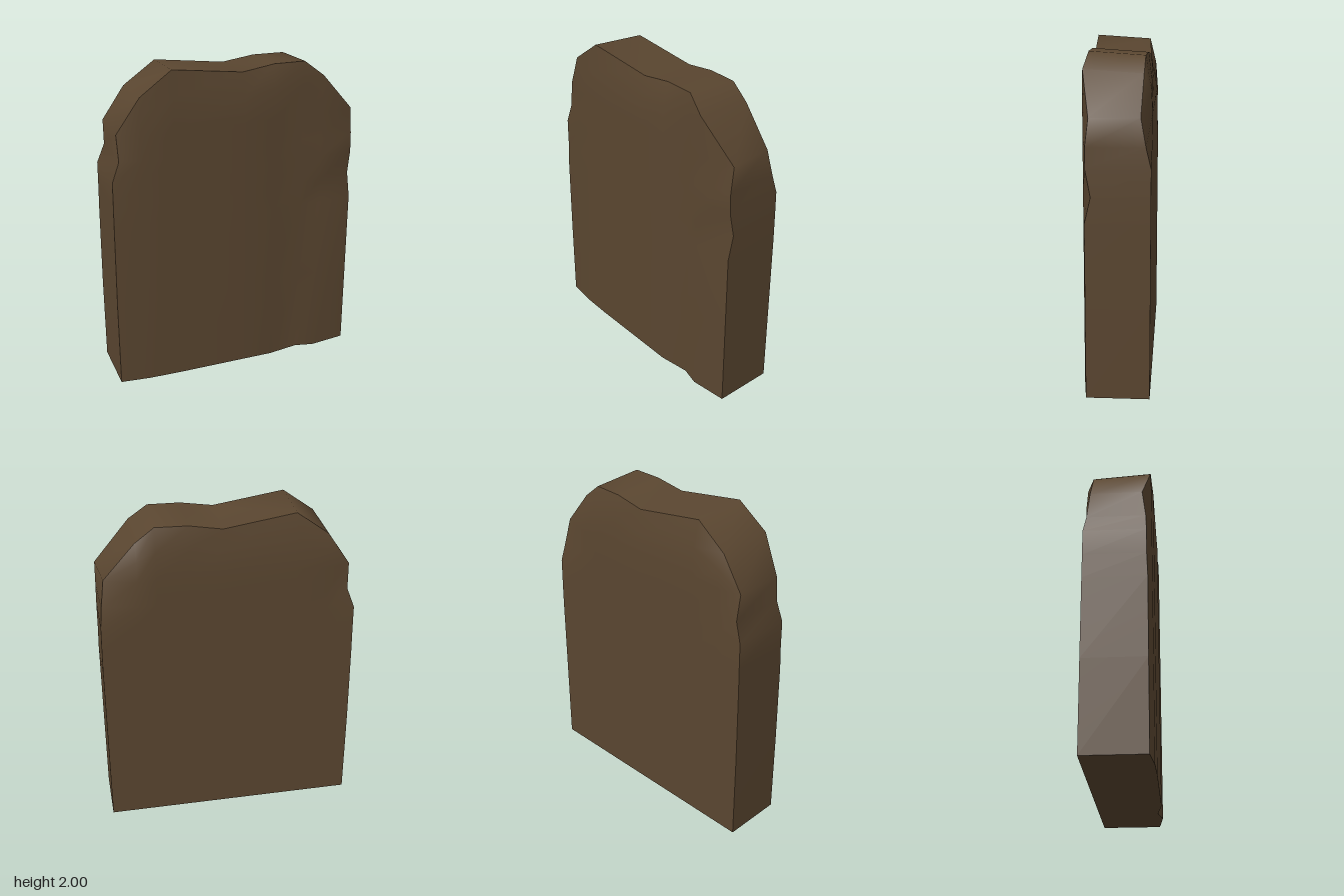
import * as THREE from 'three';
import { mergeVertices } from 'three/addons/utils/BufferGeometryUtils.js';

// Smooth surface through rows of points; faces point along (column x row).
function skin(rows) {
  const n = rows[0].length;
  const index = [];
  for (let i = 0; i < rows.length - 1; i++) {
    for (let j = 0; j < n - 1; j++) {
      const a = i * n + j, b = a + 1, c = b + n, d = a + n;
      index.push(a, b, c, a, c, d);
    }
  }
  const raw = new THREE.BufferGeometry();
  raw.setAttribute('position', new THREE.Float32BufferAttribute(rows.flat(2), 3));
  raw.setIndex(index);
  const geometry = mergeVertices(raw, 1e-4);
  geometry.computeVertexNormals();
  return geometry;
}

export function createModel() {
  const group = new THREE.Group();
  group.name = 'weatheredSlab';
  const stone = new THREE.MeshStandardMaterial({ color: 0x5a4630 });
  stone.name = 'brown stone';

  // Edge rows: height, left x, right x, front z left/right, back z left/right
  const edges = [
    [0.00, -0.78, 0.78, 0.175, 0.17, -0.2, -0.2],
    [0.55, -0.78, 0.78, 0.175, 0.17, -0.2, -0.2],
    [1.05, -0.775, 0.78, 0.175, 0.17, -0.2, -0.2],
    [1.20, -0.772, 0.778, 0.17, 0.135, -0.2, -0.2],
    [1.36, -0.77, 0.775, 0.17, 0.165, -0.2, -0.2],
    [1.48, -0.725, 0.772, 0.165, 0.165, -0.185, -0.17],
    [1.64, -0.73, 0.77, 0.145, 0.145, -0.165, -0.14],
  ];
  // Inner columns: x, front z, crest height, crest front z, crest back z
  const columns = [
    [-0.595, 0.195, 1.86, 0.19, -0.16],
    [-0.40, 0.2, 2.00, 0.185, -0.155],
    [0.04, 0.2, 1.94, 0.165, -0.175],
    [0.24, 0.2, 1.97, 0.165, -0.165],
    [0.435, 0.17, 1.97, 0.17, -0.155],
    [0.55, 0.198, 1.88, 0.195, -0.15],
  ];

  const shoulder = edges[edges.length - 1];
  const front = [], back = [];
  for (const [y, xl, xr, fl, fr, bl, br] of edges) {
    const tuck = y > 1.6 ? 0.03 : y > 1.4 ? 0.01 : 0;
    front.push([[xl, y, fl], ...columns.map(c => [c[0], y, c[1]]), [xr, y, fr]]);
    back.push([[xl, y, bl], ...columns.map(c => [c[0], y, -0.2]), [xr - tuck, y, br]]);
  }
  // Rounded crest above the shoulders; both ends meet at the shoulder points
  for (const t of [0.55, 1]) {
    const f0 = front[edges.length - 1], b0 = back[edges.length - 1];
    const y0 = shoulder[0];
    front.push([f0[0], ...columns.map(([x, z, top, zt]) =>
      [x, y0 + (top - y0) * t, t < 1 ? z : zt]), f0[f0.length - 1]]);
    back.push([b0[0], ...columns.map(([x, , top, , zt]) =>
      [x, y0 + (top - 0.022 - y0) * t, t < 1 ? -0.192 : zt]), b0[b0.length - 1]]);
  }

  // Outline up the right edge, over the crest and down the left edge
  const outline = face => [
    ...face.slice(0, edges.length).map(r => r[r.length - 1]),
    ...face[face.length - 1].slice(1, -1).reverse(),
    ...face.slice(0, edges.length).map(r => r[0]).reverse(),
  ];
  const rimBack = outline(back);

  const add = (name, rows) => {
    const mesh = new THREE.Mesh(skin(rows), stone);
    mesh.name = name;
    group.add(mesh);
  };
  add('frontFace', front);
  add('backFace', back.map(r => [...r].reverse()));
  add('rim', outline(front).map((p, k) => [p, rimBack[k]]));
  add('base', [back[0], front[0]]);
  return group;
}
